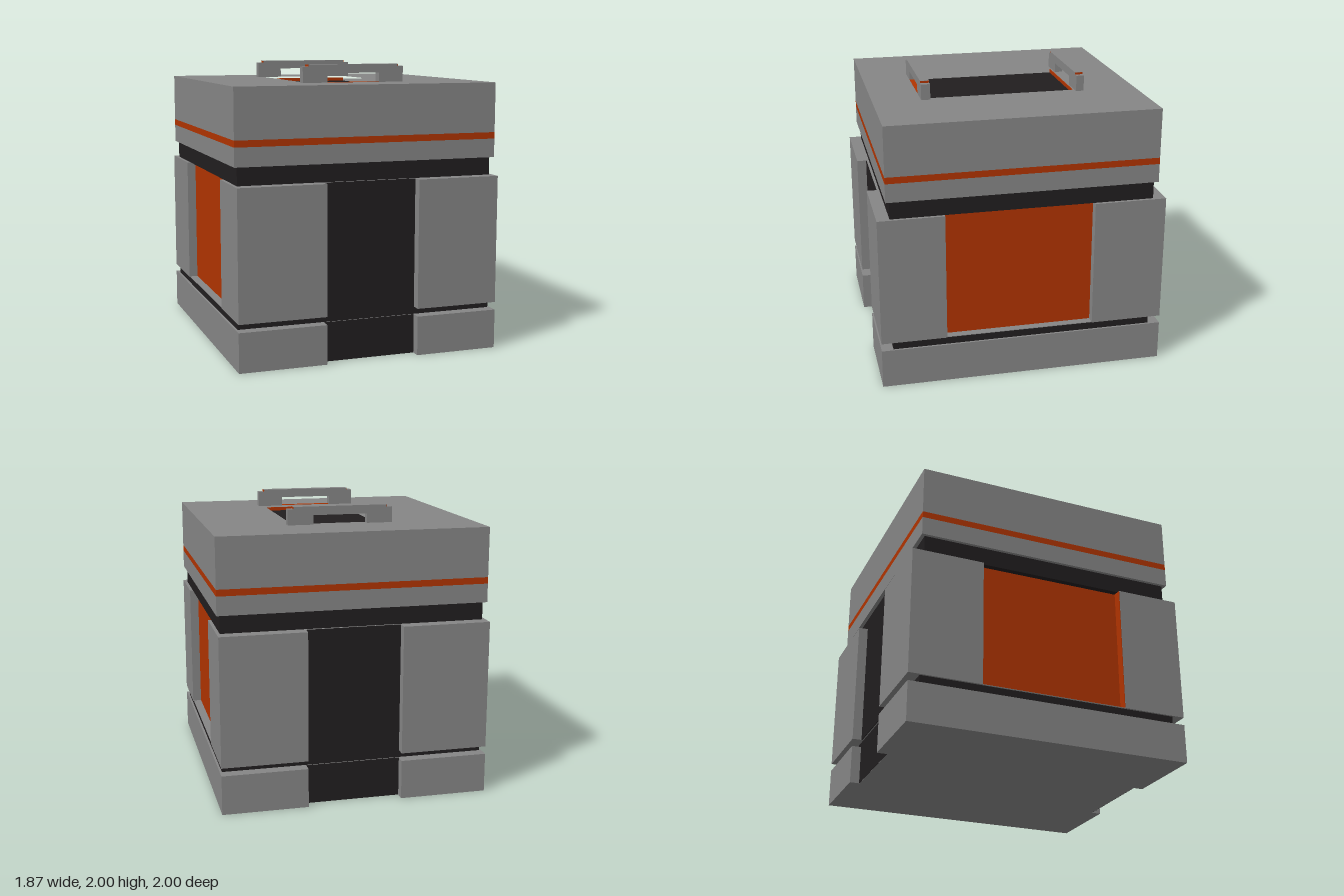
import * as THREE from 'three';

const grey = new THREE.MeshStandardMaterial({ color: 0x868686, flatShading: true });
const dark = new THREE.MeshStandardMaterial({ color: 0x211e1f, flatShading: true });
const orange = new THREE.MeshStandardMaterial({ color: 0xb13400, flatShading: true });

// Shared layout: half width, channel edges in x, side window edges in z
const W = 0.935, CH = [-0.32, 0.34], WIN = [-0.493, 0.545];
const FACE = 0.93, PANEL = 0.87, TOP = 1.875, SUNK = 0.04;

function add(parent, name, geometry, material) {
  const mesh = new THREE.Mesh(geometry, material);
  mesh.name = name;
  parent.add(mesh);
  return mesh;
}

// Box given by its extents on each axis
function box(parent, name, material, [x0, x1], [y0, y1], [z0, z1]) {
  const g = new THREE.BoxGeometry(x1 - x0, y1 - y0, z1 - z0);
  g.translate((x0 + x1) / 2, (y0 + y1) / 2, (z0 + z1) / 2);
  return add(parent, name, g, material);
}

// Upright slab from a floor plan of [x, z] points, with an optional hole
function slab(parent, name, material, plan, y0, y1, hole) {
  const points = (list) => list.map(([x, z]) => new THREE.Vector2(x, -z));
  const shape = new THREE.Shape(points(plan));
  if (hole) shape.holes.push(new THREE.Path(points(hole)));
  const g = new THREE.ExtrudeGeometry(shape, { depth: y1 - y0, bevelEnabled: false });
  g.rotateX(-Math.PI / 2).translate(0, y0, 0);
  return add(parent, name, g, material);
}

const rect = ([x0, x1], [z0, z1]) => [[x0, z0], [x1, z0], [x1, z1], [x0, z1]];

// Block outline with a shallow channel front and back
const frontEdge = [[-W, 1], [CH[0], 1], [CH[0], FACE], [CH[1], FACE], [CH[1], 1], [W, 1]];
const backEdge = [[W, -1], [CH[1], -1], [CH[1], -FACE], [CH[0], -FACE], [CH[0], -1], [-W, -1]];
const rightWindow = [[W, WIN[1]], [PANEL, WIN[1]], [PANEL, WIN[0]], [W, WIN[0]]];
const leftWindow = [[-W, WIN[0]], [-PANEL, WIN[0]], [-PANEL, WIN[1]], [-W, WIN[1]]];

function createHandle(name, z0, z1) {
  const handle = new THREE.Group();
  handle.name = name;
  const s = new THREE.Shape();
  [[-0.36, TOP], [-0.18, TOP], [-0.18, 1.94], [0.2, 1.94], [0.2, TOP], [0.38, TOP],
    [0.38, 1.985], [-0.36, 1.985]].forEach(([x, y], i) => (i ? s.lineTo(x, y) : s.moveTo(x, y)));
  const g = new THREE.ExtrudeGeometry(s, { depth: z1 - z0, bevelEnabled: false });
  add(handle, 'handleGrip', g.translate(0, 0, z0), grey);
  // Raised middle of the grip with coloured ends
  box(handle, 'gripRaisedTop', grey, CH, [1.985, 2], [z0, z1]);
  CH.forEach((x) => box(handle, 'gripEndAccent', orange, [x - 0.002, x + 0.002], [1.985, 1.999], [z0, z1]));
  return handle;
}

export function createModel() {
  const model = new THREE.Group();
  model.name = 'crate';

  // Base and the dark seam above it
  slab(model, 'base', grey, [...frontEdge, ...backEdge], 0, 0.275);
  box(model, 'lowerSeam', dark, [-0.92, 0.92], [0.275, 0.33], [-0.918, 0.918]);

  // Body with channels front and back and a window on each side
  slab(model, 'body', grey, [...frontEdge, ...rightWindow, ...backEdge, ...leftWindow], 0.33, 1.23);
  box(model, 'upperSeam', dark, [-0.912, 0.912], [1.23, 1.355], [-0.912, 0.912]);

  for (const side of [-1, 1]) {
    // Coloured side panel over a grey sill
    const x = [PANEL * side - 0.003, PANEL * side + 0.003];
    box(model, 'sidePanel', orange, x, [0.331, 1.229], WIN);
    const sill = side > 0 ? [PANEL, W - 0.005] : [-W + 0.005, -PANEL];
    box(model, 'panelSill', grey, sill, [0.33, 0.334], WIN);
    // Dark channel linings
    const z = [FACE * side - 0.003, FACE * side + 0.003];
    box(model, 'baseChannel', dark, CH, [0.001, 0.2755], z);
    box(model, 'bodyChannel', dark, CH, [0.3295, 1.23], z);
  }
  box(model, 'panelReturn', orange, [-W + 0.001, -PANEL], [0.334, 1.229], [WIN[1] - 0.004, WIN[1] + 0.001]);

  // Lid with a coloured stripe and a sunken top
  const lidX = [-W, W], lidZ = [-0.938, 0.938], well = [-0.5, 0.54];
  box(model, 'lidSkirt', grey, lidX, [1.355, 1.485], lidZ);
  box(model, 'lidStripe', orange, lidX, [1.485, 1.53], lidZ);
  box(model, 'lidBlock', grey, lidX, [1.53, TOP - SUNK], lidZ);
  slab(model, 'lidRim', grey, rect(lidX, lidZ), TOP - SUNK, TOP, rect(CH, well));
  box(model, 'wellFloor', dark, CH, [TOP - SUNK - 0.002, TOP - SUNK + 0.003], well);
  // Coloured lower edge on the end walls of the well
  for (const z of well) {
    box(model, 'wellEndAccent', orange, CH, [TOP - SUNK, TOP - 0.012], [z - 0.003, z + 0.003]);
  }

  // Two handles, the front one over a coloured strip
  model.add(createHandle('backHandle', -0.555, -0.5));
  model.add(createHandle('frontHandle', 0.54, 0.603));
  box(model, 'handleStrip', orange, [-0.18, 0.2], [TOP - 0.002, TOP + 0.002], [0.56, 0.602]);

  return model;
}
